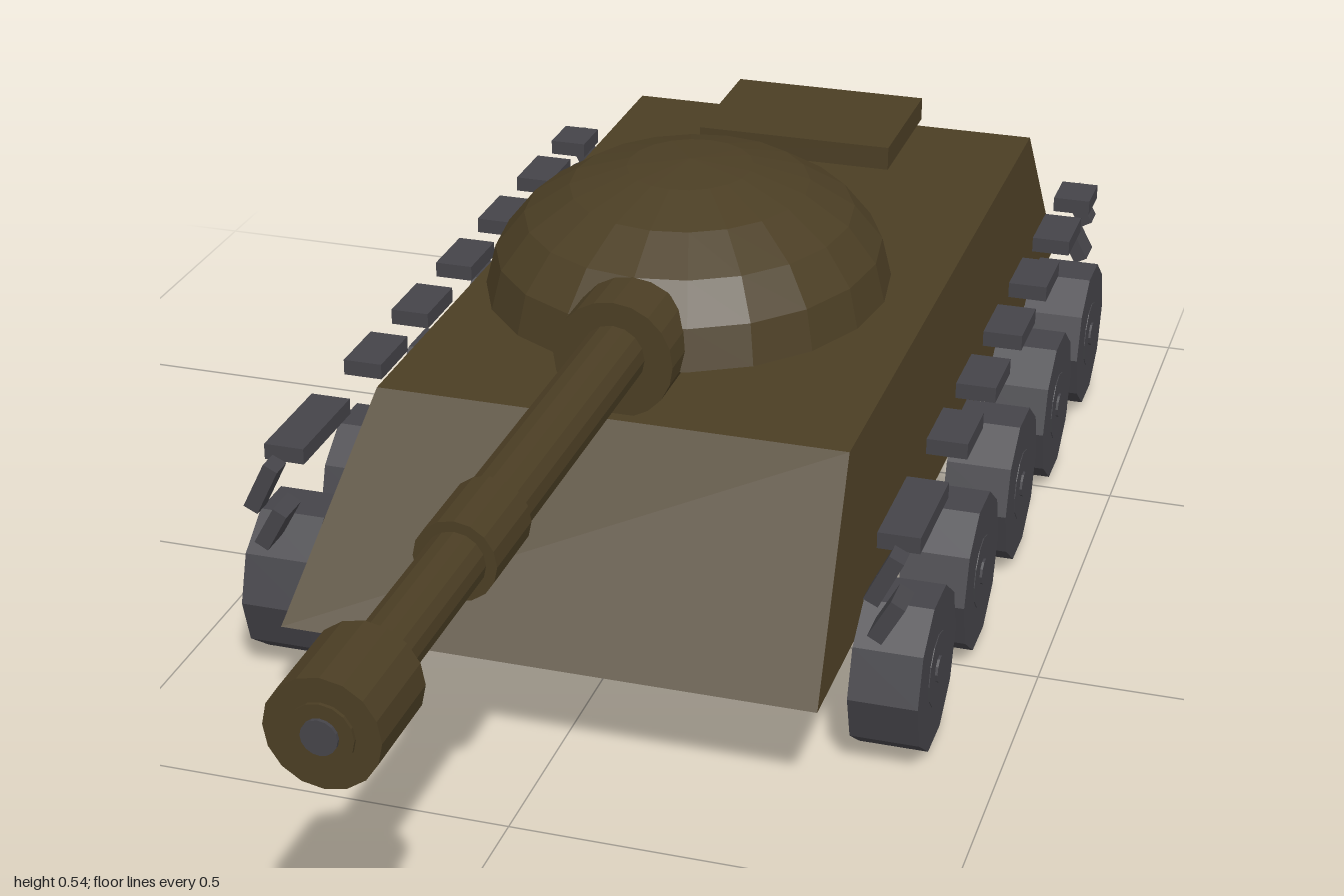
import * as THREE from 'three';

export function createModel() {
  const model = new THREE.Group();
  model.name = 'tank';

  const olive = new THREE.MeshStandardMaterial({ color: 0x4b3e24, flatShading: true });
  olive.name = 'olive paint';
  const steel = new THREE.MeshStandardMaterial({ color: 0x454449, flatShading: true });
  steel.name = 'dark steel';

  const add = (name, geometry, material, x = 0, y = 0, z = 0, parent = model) => {
    const mesh = new THREE.Mesh(geometry, material);
    mesh.name = name;
    mesh.position.set(x, y, z);
    parent.add(mesh);
    return mesh;
  };

  // Hull: a box whose top is narrower, with sloped nose and tail
  const hull = new THREE.BoxGeometry(1, 1, 1);
  const p = hull.attributes.position;
  for (let i = 0; i < p.count; i++) {
    const top = p.getY(i) > 0;
    const front = p.getZ(i) > 0;
    p.setXYZ(
      i,
      Math.sign(p.getX(i)) * (top ? 0.29 : 0.32),
      top ? 0.336 : 0.135,
      front ? (top ? 0.135 : 0.378) : (top ? -0.92 : -1)
    );
  }
  hull.computeVertexNormals();
  add('hull', hull, olive);

  // Raised engine cover on the rear deck
  add('engineCover', new THREE.BoxGeometry(0.27, 0.032, 0.207), olive, 0, 0.369, -0.798);

  // Turret: half ellipsoid with a closed underside
  const dome = new THREE.SphereGeometry(1, 20, 5, 0, Math.PI * 2, 0, Math.PI / 2);
  dome.scale(0.25, 0.16, 0.282);
  add('turret', dome, olive, 0, 0.38, -0.193);
  const floor = new THREE.CircleGeometry(1, 20);
  floor.rotateX(Math.PI / 2);
  floor.scale(0.25, 1, 0.282);
  add('turretFloor', floor, olive, 0, 0.38, -0.193);

  // Gun: cylinders along z, each given as name, radius, back and front
  const gunPart = (name, radius, back, front, y = 0.409, sides = 16, material = olive) => {
    const geometry = new THREE.CylinderGeometry(radius, radius, front - back, sides);
    geometry.rotateX(Math.PI / 2);
    add(name, geometry, material, 0, y, (back + front) / 2);
  };
  gunPart('mantlet', 0.073, 0.04, 0.118, 0.404, 20);
  gunPart('barrelBase', 0.039, 0.1, 0.55);
  gunPart('barrelCollar', 0.046, 0.535, 0.641);
  gunPart('barrelEnd', 0.034, 0.63, 0.996);
  gunPart('muzzleBrake', 0.06, 0.88, 0.992);
  gunPart('bore', 0.019, 0.985, 1);

  model.getObjectByName('bore').material = steel;

  // Running gear
  const wheelShape = (radius, width, sides) => {
    const geometry = new THREE.CylinderGeometry(radius, radius, width, sides);
    geometry.rotateZ(Math.PI / 2);
    // turn so that corners point forward and backward
    return geometry;
  };
  const tyre = wheelShape(0.099, 0.082, 10);
  const hub = wheelShape(0.045, 0.084, 12);
  const cap = wheelShape(0.016, 0.09, 10);

  // Top links: centre z and length
  const topLinks = [[0.158, 0.145], [-0.85, 0.065]];
  for (let i = 0; i < 5; i++) topLinks.push([-0.062 - i * 0.162, 0.09]);

  // Loose links at the track ends: y, z, height, depth, tilt
  const endLinks = [
    [0.268, 0.288, 0.064, 0.028, -0.45],
    [0.204, 0.258, 0.054, 0.045, -0.5],
    [0.253, -0.893, 0.052, 0.034, 0.5],
    [0.205, -0.878, 0.05, 0.045, 0.5],
  ];

  for (const side of [1, -1]) {
    const track = new THREE.Group();
    track.name = side > 0 ? 'leftTrack' : 'rightTrack';
    track.position.x = side * 0.372;
    model.add(track);

    for (let i = 0; i < 5; i++) {
      const z = 0.185 - i * 0.245;
      add('roadWheel', tyre, steel, 0, 0.1, z, track);
      add('wheelHub', hub, steel, 0, 0.1, z, track);
      add('hubCap', cap, steel, 0, 0.1, z, track);
    }
    for (const [z, length] of topLinks) {
      add('topLink', new THREE.BoxGeometry(0.05, 0.02, length), steel, 0, 0.28, z, track);
    }
    for (let i = 0; i < 4; i++) {
      add('bottomLink', new THREE.BoxGeometry(0.05, 0.017, 0.075), steel, 0, 0.0085, 0.09 - i * 0.263, track);
    }
    for (const [y, z, height, depth, tilt] of endLinks) {
      const link = add('endLink', new THREE.BoxGeometry(0.019, height, depth), steel, 0, y, z, track);
      link.rotation.z = tilt;
    }
  }
  return model;
}
